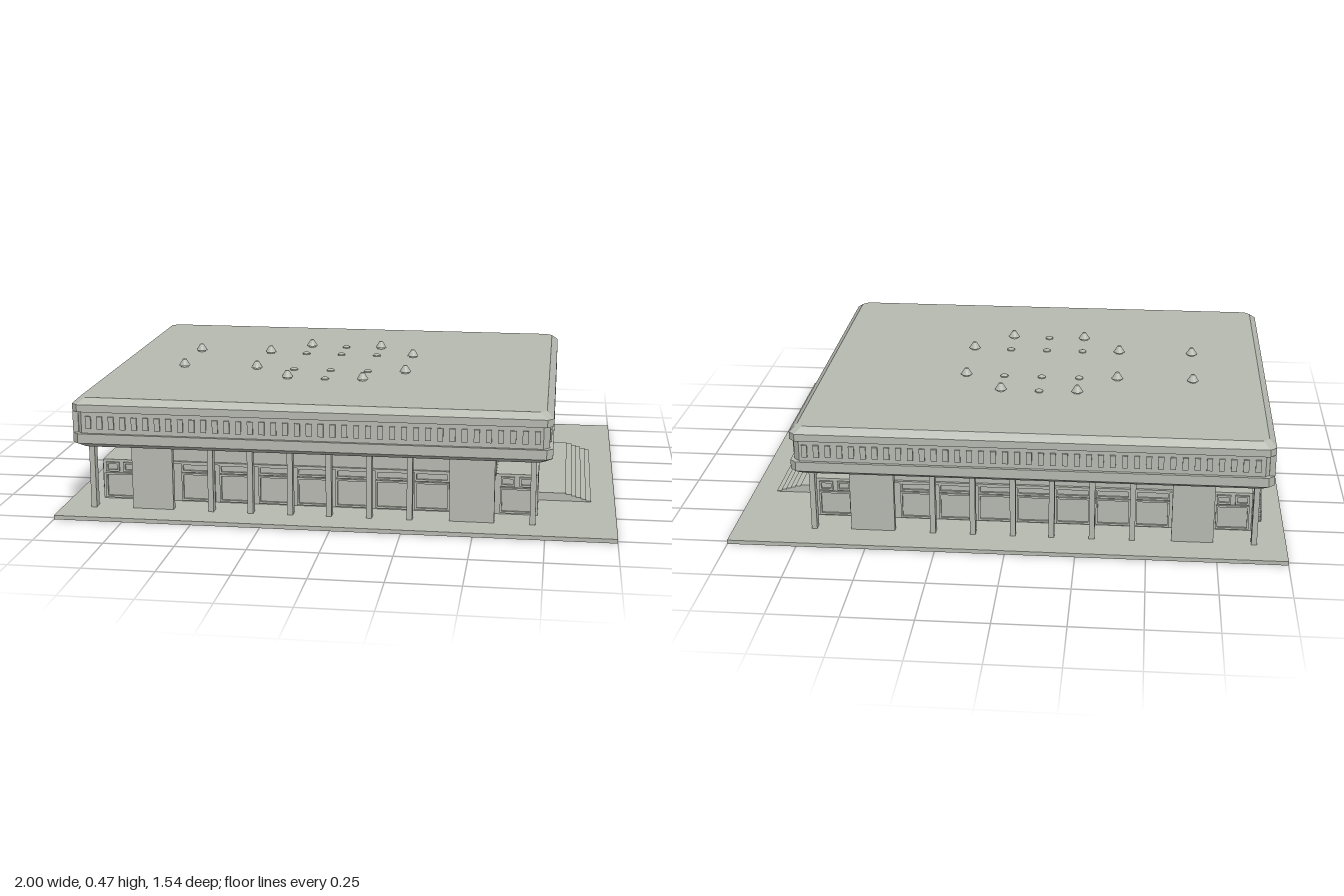
import * as THREE from 'three';

const stone = new THREE.MeshStandardMaterial({ color: 0xb6b9b0 });
stone.name = 'paleStone';

export function createModel() {
  const root = new THREE.Group();
  root.name = 'pavilion';

  const add = (name, geo) => {
    const m = new THREE.Mesh(geo, stone);
    m.name = name;
    root.add(m);
    return m;
  };
  // box given by its limits
  const box = (name, x0, x1, y0, y1, z0, z1) => {
    const m = add(name, new THREE.BoxGeometry(x1 - x0, y1 - y0, z1 - z0));
    m.position.set((x0 + x1) / 2, (y0 + y1) / 2, (z0 + z1) / 2);
    return m;
  };
  // thin window frame on a wall, turned about y
  const frame = (w, h, x, y, z, turn) => {
    const s = new THREE.Shape();
    const rect = (p, a, b) => p.moveTo(-a, -b).lineTo(a, -b).lineTo(a, b).lineTo(-a, b).closePath();
    rect(s, w / 2, h / 2);
    const hole = new THREE.Path();
    rect(hole, w / 2 - 0.007, h / 2 - 0.007);
    s.holes.push(hole);
    const m = add('windowFrame', new THREE.ExtrudeGeometry(s, { depth: 0.008, bevelEnabled: false }));
    m.position.set(x, y, z);
    m.rotation.y = turn;
  };

  // ground slab and body
  box('groundSlab', -1, 1, 0, 0.015, -0.77, 0.77);
  box('hall', -0.74, 0.57, 0.01, 0.26, -0.54, 0.54);
  box('lowWing', -0.88, -0.735, 0.01, 0.165, -0.54, 0.54);

  // roof: octagonal loops following a chamfered profile with a recessed frieze
  const x0 = -0.94, x1 = 0.77, zr = 0.71;
  const loop = (d, y) => {
    const a = x0 + d, b = x1 - d, z = zr - d, c = 0.022;
    return [[a + c, z], [b - c, z], [b, z - c], [b, -z + c], [b - c, -z], [a + c, -z], [a, -z + c], [a, z - c]]
      .map(([px, pz]) => [px, y, pz]);
  };
  const profile = [[0.025, 0.253], [0, 0.27], [0, 0.305], [0.012, 0.305], [0.012, 0.385], [0, 0.385], [0, 0.412], [0.025, 0.434]];
  const loops = profile.map(([d, y]) => loop(d, y));
  const pos = [];
  const tri = (...p) => p.forEach((v) => pos.push(...v));
  for (let i = 0; i < loops.length - 1; i++) {
    for (let j = 0; j < 8; j++) {
      const k = (j + 1) % 8;
      tri(loops[i][j], loops[i][k], loops[i + 1][k]);
      tri(loops[i][j], loops[i + 1][k], loops[i + 1][j]);
    }
  }
  const top = loops[loops.length - 1], bottom = loops[0];
  for (let j = 1; j < 7; j++) {
    tri(top[0], top[j], top[j + 1]);
    tri(bottom[0], bottom[j + 1], bottom[j]);
  }
  const roofGeo = new THREE.BufferGeometry();
  roofGeo.setAttribute('position', new THREE.Float32BufferAttribute(pos, 3));
  roofGeo.computeVertexNormals();
  add('roof', roofGeo);
  box('plainFascia', x0, x0 + 0.02, 0.3, 0.39, -zr + 0.022, zr - 0.022);

  // frieze blocks on three sides
  for (let x = x0 + 0.05; x < x1 - 0.03; x += 0.042) {
    for (const s of [-1, 1]) {
      const m = box('friezeBlock', x, x + 0.02, 0.322, 0.368, -0.004, 0.004);
      m.position.z = s * (zr - 0.01);
    }
  }
  for (let z = -zr + 0.05; z < zr - 0.05; z += 0.042) {
    box('friezeBlock', x1 - 0.014, x1 - 0.006, 0.322, 0.368, z, z + 0.02);
  }

  // front and back: pylons, columns, wings and glazing frames
  const bays = [-0.59, -0.45, -0.305, -0.16, -0.02, 0.125, 0.27, 0.41];
  for (const s of [-1, 1]) {
    const at = (name, a, b, y0, y1, z, t) => box(name, a, b, y0, y1, s * z - t / 2, s * z + t / 2);
    const turn = s > 0 ? 0 : Math.PI;
    at('pylon', -0.74, -0.59, 0.01, 0.26, 0.635, 0.025);
    at('pylon', 0.41, 0.57, 0.01, 0.26, 0.635, 0.025);
    for (const x of [-0.885, ...bays.slice(1, -1), 0.705]) {
      at('column', x - 0.01, x + 0.01, 0.01, 0.26, 0.637, 0.034);
    }
    for (let i = 0; i < bays.length - 1; i++) {
      const mid = (bays[i] + bays[i + 1]) / 2;
      frame(0.125, 0.105, mid, 0.072, s * 0.54, turn);
      frame(0.125, 0.035, mid, 0.145, s * 0.54, turn);
    }
    at('transom', -0.74, 0.57, 0.16, 0.168, 0.543, 0.014);

    // entrance wing beside the steps
    at('entranceWing', 0.56, 0.72, 0.01, 0.165, 0.45, 0.18);
    for (const x of [-0.81, 0.645]) {
      for (const dx of [-0.033, 0.033]) frame(0.05, 0.035, x + dx, 0.138, s * 0.54, turn);
      frame(0.12, 0.095, x, 0.068, s * 0.54, turn);
    }
  }

  // entrance terrace, steps and colonnade
  box('terrace', 0.56, 0.82, 0.01, 0.045, -0.355, 0.355);
  for (let i = 0; i < 5; i++) {
    box('step', 0.8, 0.84 + i * 0.018, 0.01, 0.041 - i * 0.0055, -0.355, 0.355);
  }
  for (const z of [-0.36, -0.217, -0.073, 0.073, 0.217, 0.36]) {
    box('entranceColumn', 0.697, 0.713, 0.01, 0.26, z - 0.008, z + 0.008);
  }
  for (let i = 0; i < 5; i++) {
    const z = (i - 2) * 0.144;
    frame(0.12, 0.115, 0.57, 0.103, z, Math.PI / 2);
    frame(0.12, 0.07, 0.57, 0.21, z, Math.PI / 2);
  }
  box('entranceTransom', 0.565, 0.577, 0.161, 0.169, -0.36, 0.36);

  // side doors with small stairs and rails
  for (const c of [-0.37, 0.38]) {
    box('landing', -0.92, -0.875, 0.01, 0.07, c - 0.03, c + 0.03);
    for (let i = 0; i < 5; i++) {
      const z = c - 0.03 - i * 0.013;
      box('sideStep', -0.92, -0.875, 0.01, 0.06 - i * 0.01, z - 0.013, z);
    }
    for (const [z, y] of [[c + 0.028, 0.07], [c - 0.028, 0.07], [c - 0.09, 0.015]]) {
      box('railPost', -0.922, -0.918, 0.01, y + 0.04, z - 0.002, z + 0.002);
    }
    box('handrail', -0.922, -0.918, 0.106, 0.11, c - 0.028, c + 0.028);
    const slope = box('handrail', -0.922, -0.918, 0.08, 0.084, c - 0.1, c - 0.018);
    slope.rotation.x = -0.73;
    frame(0.05, 0.075, -0.88, 0.108, c, -Math.PI / 2);
  }

  // roof vents and skylights
  const lathe = (pts, n) => new THREE.LatheGeometry(pts.map(([r, y]) => new THREE.Vector2(r, y)), n).toNonIndexed();
  const ventGeo = lathe([[0.015, 0], [0.015, 0.007], [0.022, 0.007], [0.012, 0.023], [0.007, 0.031], [0, 0.032]], 12);
  const domeGeo = lathe([[0.015, 0], [0.015, 0.005], [0.01, 0.009], [0, 0.011]], 10);
  ventGeo.computeVertexNormals();
  domeGeo.computeVertexNormals();
  const vents = [[-0.23, 0.29], [0.055, 0.29], [-0.66, 0.145], [-0.375, 0.145], [0.2, 0.145]];
  const domes = [[-0.088, 0.29], [-0.23, 0.145], [-0.088, 0.145], [0.055, 0.145]];
  for (const s of [-1, 1]) {
    for (const [x, z] of vents) add('roofVent', ventGeo).position.set(x, 0.433, s * z);
    for (const [x, z] of domes) add('skylight', domeGeo).position.set(x, 0.433, s * z);
  }

  return root;
}
